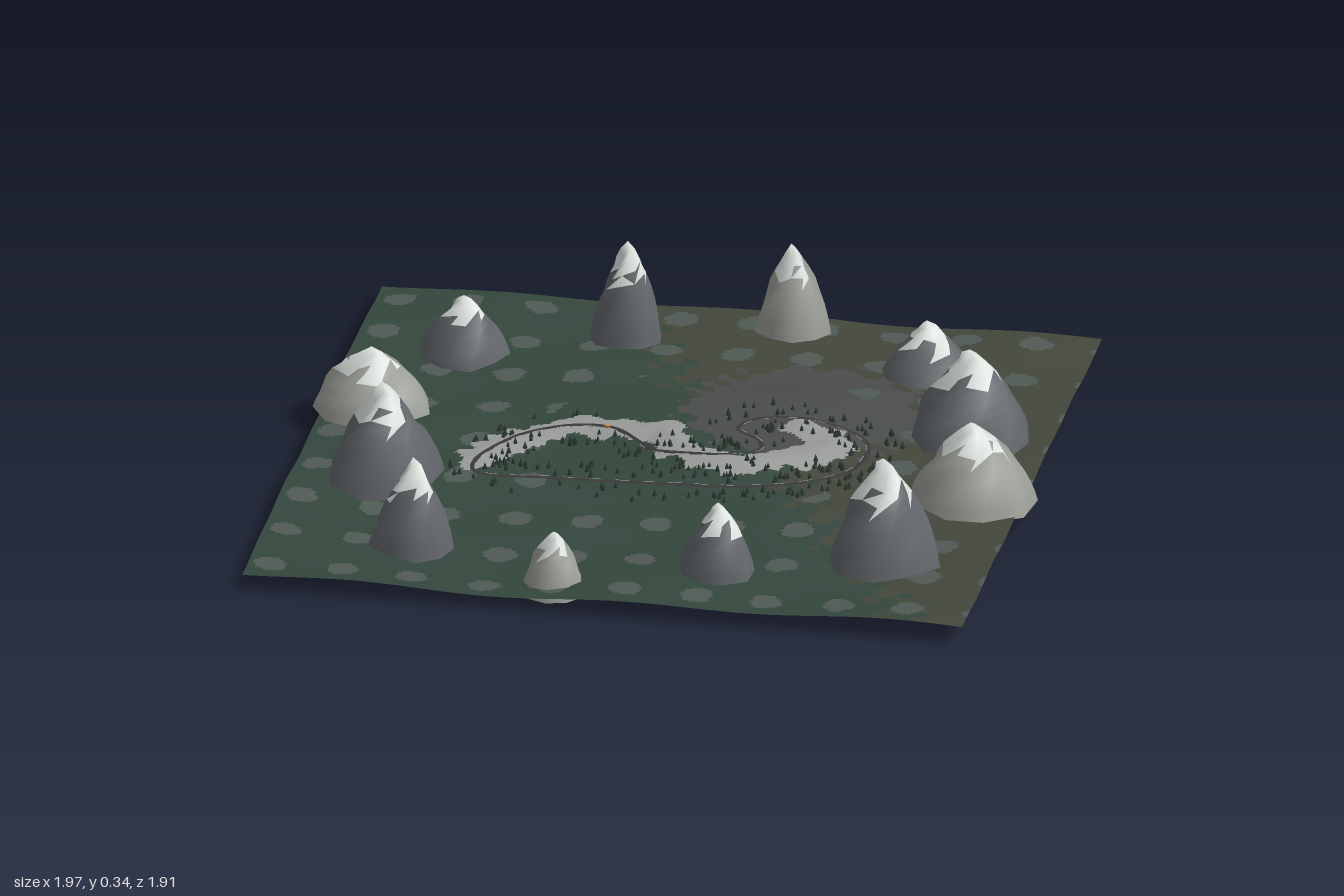
import * as THREE from 'three';
import { mergeGeometries, mergeVertices } from 'three/addons/utils/BufferGeometryUtils.js';

const mat = (color) => new THREE.MeshStandardMaterial({ color, side: THREE.DoubleSide });
const bump = (x, z, cx, cz, w) => Math.exp(-((x - cx) ** 2 + (z - cz) ** 2) / w);

function seeded(seed) {
  return () => {
    seed = (seed * 16807) % 2147483647;
    return seed / 2147483647;
  };
}

// Gently rolling land: a rise in the middle, a hollow towards the front
function landHeight(x, z) {
  return 0.047 + 0.033 * bump(x, z, 0.2, -0.15, 0.2) - 0.03 * bump(x, z, -0.35, 0.6, 0.15)
    + 0.006 * Math.sin(x * 9 + 1) * Math.cos(z * 7) + 0.003 * Math.sin(z * 17 + x * 5);
}

const flatCurve = (points, closed) => new THREE.CatmullRomCurve3(
  points.map(([x, z]) => new THREE.Vector3(x, 0, z)), closed);

const roadCurve = flatCurve([
  [-0.48, 0.19], [-0.41, -0.02], [-0.29, -0.1], [-0.18, -0.1], [-0.09, -0.03], [-0.02, 0.05],
  [0.13, 0.07], [0.24, 0], [0.23, -0.06], [0.16, -0.13], [0.19, -0.2], [0.3, -0.23],
  [0.43, -0.2], [0.51, -0.11], [0.5, 0.03], [0.4, 0.13], [0.24, 0.2], [-0.02, 0.21], [-0.27, 0.2],
], true);
const sandCurve = flatCurve([
  [-0.49, 0.12], [-0.39, -0.03], [-0.24, -0.12], [-0.12, -0.09], [-0.03, -0.1], [0.03, 0.03],
  [0.18, 0.09], [0.35, 0.01], [0.42, -0.1], [0.33, -0.17],
], false);
const sandPoints = sandCurve.getSpacedPoints(70);

function sandDistance(x, z) {
  let best = 9;
  for (const p of sandPoints) best = Math.min(best, Math.hypot(p.x - x, p.z - z));
  return best;
}

const groundHeight = (x, z) => landHeight(x, z) + 0.012 * Math.exp(-((sandDistance(x, z) / 0.06) ** 2));

// Split one smooth surface into differently coloured meshes by a rule on face centres
function splitSurface(geometry, rule, parts) {
  const group = new THREE.Group();
  const index = geometry.index.array;
  const p = geometry.attributes.position;
  const lists = parts.map(() => []);
  for (let i = 0; i < index.length; i += 3) {
    const f = [index[i], index[i + 1], index[i + 2]];
    const mean = (axis) => f.reduce((s, v) => s + p[axis](v), 0) / 3;
    lists[rule(mean('getX'), mean('getY'), mean('getZ'))].push(...f);
  }
  parts.forEach(([name, material], k) => {
    if (!lists[k].length) return;
    const g = geometry.clone();
    g.setIndex(lists[k]);
    const mesh = new THREE.Mesh(g, material);
    mesh.name = name;
    group.add(mesh);
  });
  return group;
}

function makeGround() {
  const g = new THREE.PlaneGeometry(1.91, 1.915, 170, 170).rotateX(-Math.PI / 2).translate(0.01, 0, -0.002);
  const p = g.attributes.position;
  for (let i = 0; i < p.count; i++) p.setY(i, groundHeight(p.getX(i), p.getZ(i)));
  g.computeVertexNormals();

  const rule = (x, y, z) => {
    const ragged = 0.012 * Math.sin(x * 47 + z * 31) + 0.008 * Math.sin(z * 83 - x * 61);
    if (sandDistance(x, z) < 0.052 + ragged) return 3;
    // Regular pattern of pale patches
    const dx = x + 0.885 - Math.round((x + 0.885) / 0.188) * 0.188;
    const dz = z + 0.88 - Math.round((z + 0.88) / 0.219) * 0.219;
    if (Math.hypot(dx, dz) < 0.042 + ragged * 0.3 && Math.hypot(x - 0.1, z + 0.1) > 0.45) return 2;
    if (bump(x, z, 0.3, -0.3, 0.12) > 0.45 + ragged * 5) return 4;
    return x - z * 0.6 + 6 * ragged > 0.25 ? 1 : 0;
  };
  const ground = splitSurface(g, rule, [
    ['grassland', mat(0x34473d)],
    ['dryGrassland', mat(0x43473b)],
    ['groundPatches', mat(0x505a55)],
    ['sandyBank', mat(0x9a9c99)],
    ['stonyGround', mat(0x4b4d4c)],
  ]);
  ground.name = 'ground';
  return ground;
}

const darkRock = mat(0x62666a), lightRock = mat(0x9b9d97), snow = mat(0xdde3df);

// Bell-shaped twisted peak with an uneven foot and a ragged snow cap
function makeMountain(x, z, radius, base, peak, i) {
  const random = seeded(31 + i * 977);
  const sides = 9, h = peak - base;
  const lobes = Array.from({ length: sides }, () => 0.88 + 0.22 * random());
  let g = new THREE.CylinderGeometry(0, 1, 1, sides, 9, true).translate(0, 0.5, 0);
  g.deleteAttribute('uv');
  g.deleteAttribute('normal');
  const p = g.attributes.position;
  for (let v = 0; v < p.count; v++) {
    const t = p.getY(v), s = v % (sides + 1) % sides;
    const r = t > 0.999 ? 0 : radius * (1 - 0.3 * t - 0.7 * t * t) * lobes[s];
    const a = (s / sides) * Math.PI * 2 + i + t * t * 1.5;
    const lift = t > 0.5 && t < 0.95 ? 0.05 * Math.sin(s * 2.5 + i) : 0;
    p.setXYZ(v, r * Math.sin(a), h * (t + lift), r * Math.cos(a));
  }
  g = mergeVertices(g);
  g.computeVertexNormals();
  const rule = (px, py, pz) => {
    const a = Math.atan2(px, pz) - 1.5 * (py / h) ** 2;
    return py / h > 0.68 + 0.09 * Math.sin(a * 4 + i) ? 1 : 0;
  };
  const mountain = splitSurface(g, rule, [
    ['mountainRock', i % 3 ? darkRock : lightRock],
    ['snowCap', snow],
  ]);
  mountain.name = 'mountain';
  mountain.position.set(x, base, z);
  return mountain;
}

// Flat ribbon laid over the ground along a stretch of the road
function makeRibbon(name, from, to, offset, width, lift, color) {
  const n = Math.max(4, Math.ceil((to - from) * 320));
  const pos = [], index = [];
  for (let i = 0; i <= n; i++) {
    const t = from + (to - from) * i / n;
    const c = roadCurve.getPointAt(t % 1), d = roadCurve.getTangentAt(t % 1);
    for (const s of [-0.5, 0.5]) {
      const k = offset + s * width;
      const x = c.x - d.z * k, z = c.z + d.x * k;
      pos.push(x, groundHeight(x, z) + lift, z);
    }
    if (i < n) index.push(2 * i, 2 * i + 2, 2 * i + 1, 2 * i + 1, 2 * i + 2, 2 * i + 3);
  }
  const g = new THREE.BufferGeometry();
  g.setAttribute('position', new THREE.Float32BufferAttribute(pos, 3));
  g.setIndex(index);
  g.computeVertexNormals();
  const mesh = new THREE.Mesh(g, mat(color));
  mesh.name = name;
  return mesh;
}

// Tiny trees scattered on both sides of the road
function makeTrees() {
  const random = seeded(4242);
  const trees = [];
  for (let i = 0; i < 280; i++) {
    const t = random();
    const c = roadCurve.getPointAt(t), d = roadCurve.getTangentAt(t);
    const k = (random() < 0.5 ? -1 : 1) * (0.02 + 0.07 * random());
    const x = c.x - d.z * k, z = c.z + d.x * k, size = 0.8 + 0.5 * random();
    trees.push(new THREE.ConeGeometry(0.006, 0.017, 6).scale(size, size, size)
      .translate(x, groundHeight(x, z) + 0.008 * size, z));
  }
  const mesh = new THREE.Mesh(mergeGeometries(trees), mat(0x26332c));
  mesh.name = 'trees';
  return mesh;
}

export function createModel() {
  const model = new THREE.Group();
  model.name = 'mountainCircuit';
  model.add(makeGround());

  // Ring of mountains: x, z, foot radius, foot height, peak height
  [
    [-0.82, -0.16, 0.17, 0.05, 0.22], [-0.65, -0.56, 0.125, 0.027, 0.21],
    [-0.25, -0.74, 0.1, 0.045, 0.32], [0.16, -0.86, 0.1, 0.04, 0.295],
    [0.56, -0.65, 0.14, 0.022, 0.2], [0.75, -0.26, 0.175, 0.05, 0.3],
    [0.83, 0.14, 0.165, 0.045, 0.27], [0.68, 0.56, 0.155, 0.036, 0.335],
    [0.27, 0.71, 0.11, 0.035, 0.24], [-0.145, 0.82, 0.092, 0, 0.17],
    [-0.55, 0.65, 0.122, 0.008, 0.275], [-0.71, 0.25, 0.155, 0.03, 0.305],
  ].forEach((m, i) => model.add(makeMountain(...m, i)));

  // Road with pale dashed edging and a start line
  model.add(makeRibbon('road', 0, 1, 0, 0.013, 0.003, 0x3a3a3a));
  for (let i = 0; i < 40; i++) {
    model.add(makeRibbon('edgeMark', i / 40, (i + 0.5) / 40, 0.0065, 0.002, 0.004, 0xb0b0ac));
  }
  const startLine = new THREE.Mesh(new THREE.BoxGeometry(0.016, 0.004, 0.006), mat(0xd08030));
  startLine.name = 'startLine';
  startLine.position.set(-0.18, groundHeight(-0.18, -0.1) + 0.004, -0.1);
  model.add(startLine, makeTrees());
  return model;
}
